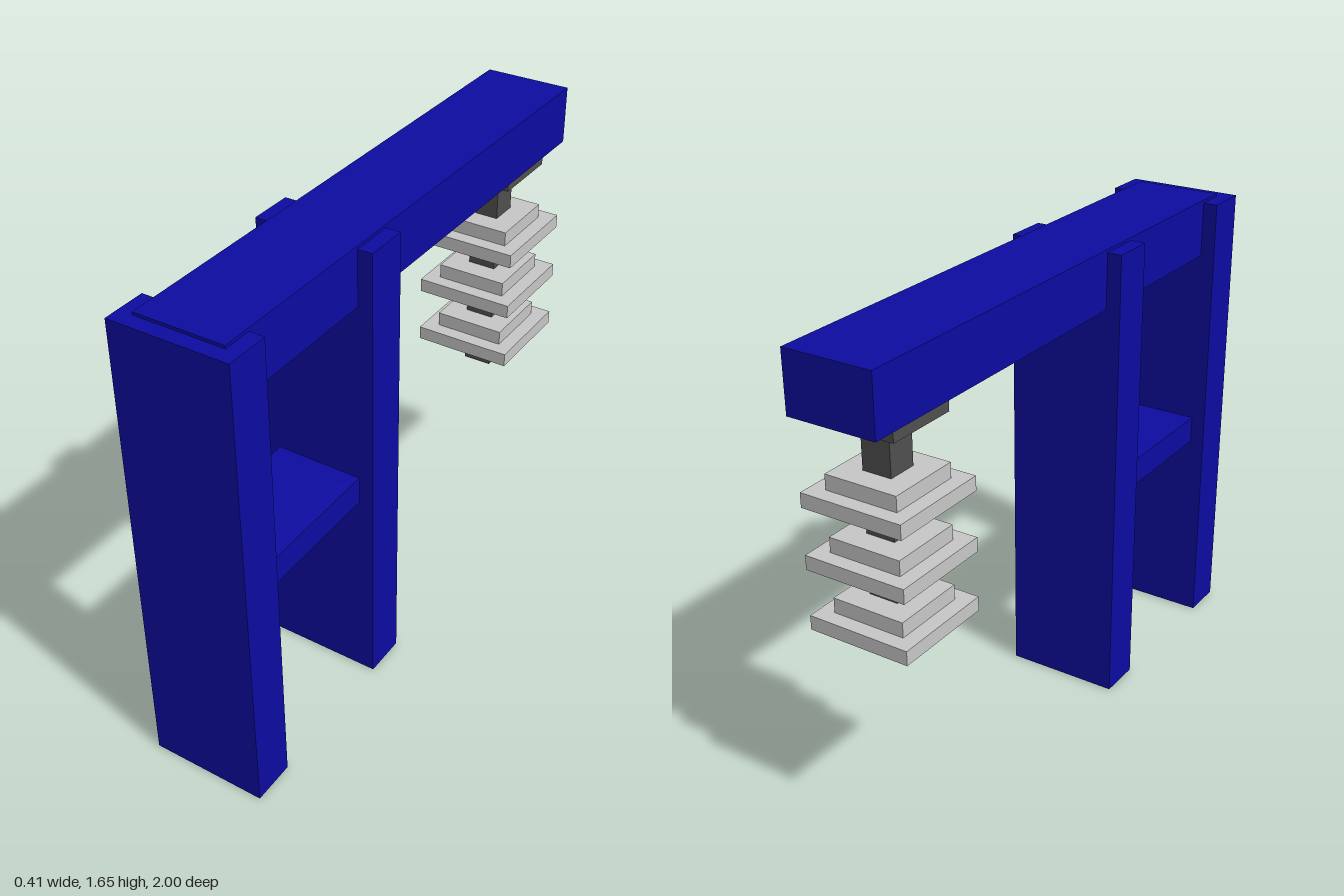
import * as THREE from 'three';

const paint = new THREE.MeshStandardMaterial({ name: 'blue paint', color: 0x0c0ca2 });
const metal = new THREE.MeshStandardMaterial({ name: 'dark metal', color: 0x505050 });
const ceramic = new THREE.MeshStandardMaterial({ name: 'light grey ceramic', color: 0xc8c8c8 });

// Box centred on x, given its width and its y and z ranges
function addBox(parent, name, material, width, y0, y1, z0, z1) {
  const mesh = new THREE.Mesh(new THREE.BoxGeometry(width, y1 - y0, z1 - z0), material);
  mesh.name = name;
  mesh.position.set(0, (y0 + y1) / 2, (z0 + z1) / 2);
  parent.add(mesh);
}

export function createModel() {
  const model = new THREE.Group();
  model.name = 'gantry';

  // Frame: two posts, a brace between them and the long top beam
  addBox(model, 'frontPost', paint, 0.408, 0, 1.643, 0.849, 1);
  addBox(model, 'rearPost', paint, 0.408, 0, 1.643, 0.183, 0.335);
  addBox(model, 'brace', paint, 0.306, 0.724, 0.822, 0.335, 0.849);
  addBox(model, 'topBeam', paint, 0.306, 1.452, 1.653, -1, 0.949);

  // Hanging insulator: mounting plate, square rod and three stepped discs
  const insulator = new THREE.Group();
  insulator.name = 'insulator';
  insulator.position.z = -0.768;
  model.add(insulator);
  addBox(insulator, 'mountingPlate', metal, 0.254, 1.4, 1.452, -0.127, 0.127);
  addBox(insulator, 'rod', metal, 0.102, 0.628, 1.4, -0.051, 0.051);
  for (const y of [0.735, 0.939, 1.142]) {
    addBox(insulator, 'wideDisc', ceramic, 0.356, y, y + 0.049, -0.178, 0.178);
    addBox(insulator, 'narrowDisc', ceramic, 0.254, y + 0.049, y + 0.1, -0.127, 0.127);
  }
  return model;
}
